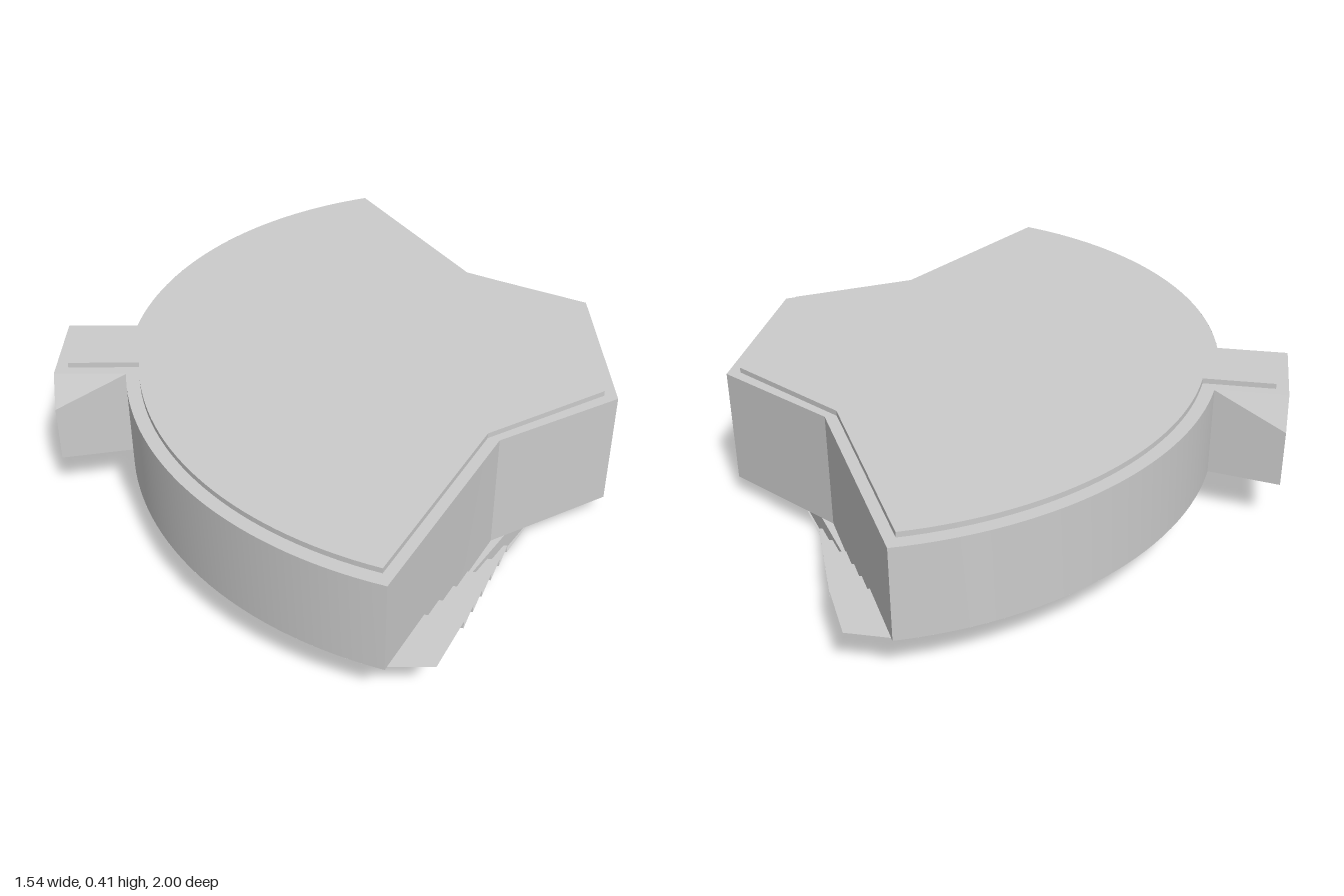
import * as THREE from 'three';
import { toCreasedNormals } from 'three/addons/utils/BufferGeometryUtils.js';

const CX = 0.487; // common centre of all arcs, on z = 0
const EAVE = 0.395, LOW = 0.06, HIGH = 0.135;

export function createModel() {
  const group = new THREE.Group();
  const material = new THREE.MeshStandardMaterial({ color: 0xcccccc, side: THREE.DoubleSide });
  const add = (name, geometry) => {
    const mesh = new THREE.Mesh(geometry, material);
    mesh.name = name;
    group.add(mesh);
  };

  // Points [x, z] on an arc about the common centre
  const arc = (r, a0, a1, n) => Array.from({ length: n + 1 }, (_, i) => {
    const a = a0 + (a1 - a0) * i / n;
    return [CX + r * Math.cos(a), r * Math.sin(a)];
  });
  // Surface through rows of [x, y, z] points
  const loft = (rows) => {
    const cols = rows[0].length, index = [];
    for (let i = 0; i < rows.length - 1; i++) {
      for (let j = 0; j < cols - 1; j++) {
        const a = i * cols + j, b = a + cols;
        index.push(a, b, a + 1, b, b + 1, a + 1);
      }
    }
    const g = new THREE.BufferGeometry();
    g.setAttribute('position', new THREE.Float32BufferAttribute(rows.flat(2), 3));
    g.setIndex(index);
    g.computeVertexNormals();
    return toCreasedNormals(g, 0.4);
  };
  // Upright wall along a plan path; each point may carry its own bottom height
  const wall = (path, top, bottom) => loft([
    path.map(([x, z]) => [x, top, z]),
    path.map(([x, z, y = bottom]) => [x, y, z]),
  ]);
  const planShape = (pts) => new THREE.Shape(pts.map(([x, z]) => new THREE.Vector2(x, z)));
  const flat = (pts, y) => new THREE.ShapeGeometry(planShape(pts)).rotateX(Math.PI / 2).translate(0, y, 0);
  const mirrored = (pts) => [...pts, ...pts.map(([x, z, y]) => [x, -z, y]).reverse()];

  // Plan outline from the front (+x) round to the rear annex (-x), then mirrored
  const outline = (r, front, waist, wing, annexX, annexZ) => {
    const a0 = Math.atan2(wing[1], wing[0] - CX);
    const a1 = Math.PI - Math.asin(annexZ / r);
    return mirrored([front, waist, ...arc(r, a0, a1, 32), [annexX, annexZ]]);
  };

  // Roof with a slightly raised inner slab
  add('roof', flat(outline(1.065, [0.77, 0.26], [0.43, 0.45], [0.12, 1], -0.77, 0.13), EAVE));
  const slab = planShape(outline(1.028, [0.735, 0.245], [0.4, 0.44], [0.112, 0.955], -0.735, 0.098));
  add('raisedRoof', new THREE.ExtrudeGeometry(slab, { depth: 0.015, bevelEnabled: false })
    .rotateX(Math.PI / 2).translate(0, EAVE + 0.015, 0));

  // Outer walls: curved rear, splayed wings with a sloping foot, faceted front
  const wingAngle = Math.atan2(1, 0.12 - CX);
  add('rearWall', wall(arc(1.065, wingAngle, 2 * Math.PI - wingAngle, 64), EAVE, HIGH));
  const facade = mirrored([[0.12, 1, HIGH], [0.345, 0.6, LOW], [0.43, 0.45, LOW], [0.77, 0.26, LOW]]);
  add('frontWall', wall(facade, EAVE, LOW));
  add('frontSoffit', flat(mirrored([[0.345, 0.6], [0.43, 0.45], [0.77, 0.26]]), LOW));

  // Stepped seating terraces, ended by a slanting line beside each wing
  const endAngle = (r) => {
    const z = (0.1273 + Math.sqrt(0.0162 + 4.617 * (r * r - 0.0262))) / 2.309;
    return Math.atan2(z, 0.162 - 0.393 * z);
  };
  const radii = [0.857, 0.772, 0.687, 0.597, 0.512, 0.427];
  const profile = [[1.065, HIGH]];
  radii.forEach((r, i) => profile.push([r, HIGH * (1 - i / 6)], [r, HIGH * (1 - (i + 1) / 6)]));
  add('terraces', loft(profile.map(([r, y]) => {
    const a = endAngle(r);
    return arc(r, a, 2 * Math.PI - a, 64).map(([x, z]) => [x, y, THREE.MathUtils.clamp(z, -0.99, 0.99)]);
  })));

  // Lowest floor with a round pit cut into its front
  const a = endAngle(0.427), pit = Math.atan2(0.22, 0.61 - CX);
  const pitArc = arc(0.252, 2 * Math.PI - pit, pit, 40);
  add('lowestFloor', flat([...arc(0.427, a, 2 * Math.PI - a, 48), ...pitArc], 0));
  add('pitWall', wall(pitArc, LOW, 0));
  for (const s of [1, -1]) {
    add('floorEdgeWall', wall([[0.35, s * 0.605], [0.61, s * 0.22]], LOW, 0));
  }

  // Rear annex: flared sides with sloping shoulders and an open end
  const inner = -0.567, outer = -0.77, shoulder = 0.3;
  for (const s of [1, -1]) {
    add('annexSide', loft([
      [[inner, HIGH, s * 0.13], [outer, HIGH, s * 0.17]],
      [[inner, shoulder, s * 0.13], [outer, shoulder, s * 0.17]],
      [[inner, EAVE, s * 0.13], [outer, EAVE, s * 0.13]],
    ]));
  }
  add('annexFloor', flat(mirrored([[inner, 0.13], [outer, 0.17]]), HIGH));
  add('annexLintel', loft([
    [[outer, EAVE, -0.13], [outer, EAVE, 0.13]],
    [[outer, shoulder, -0.17], [outer, shoulder, 0.17]],
  ]));

  return group;
}
